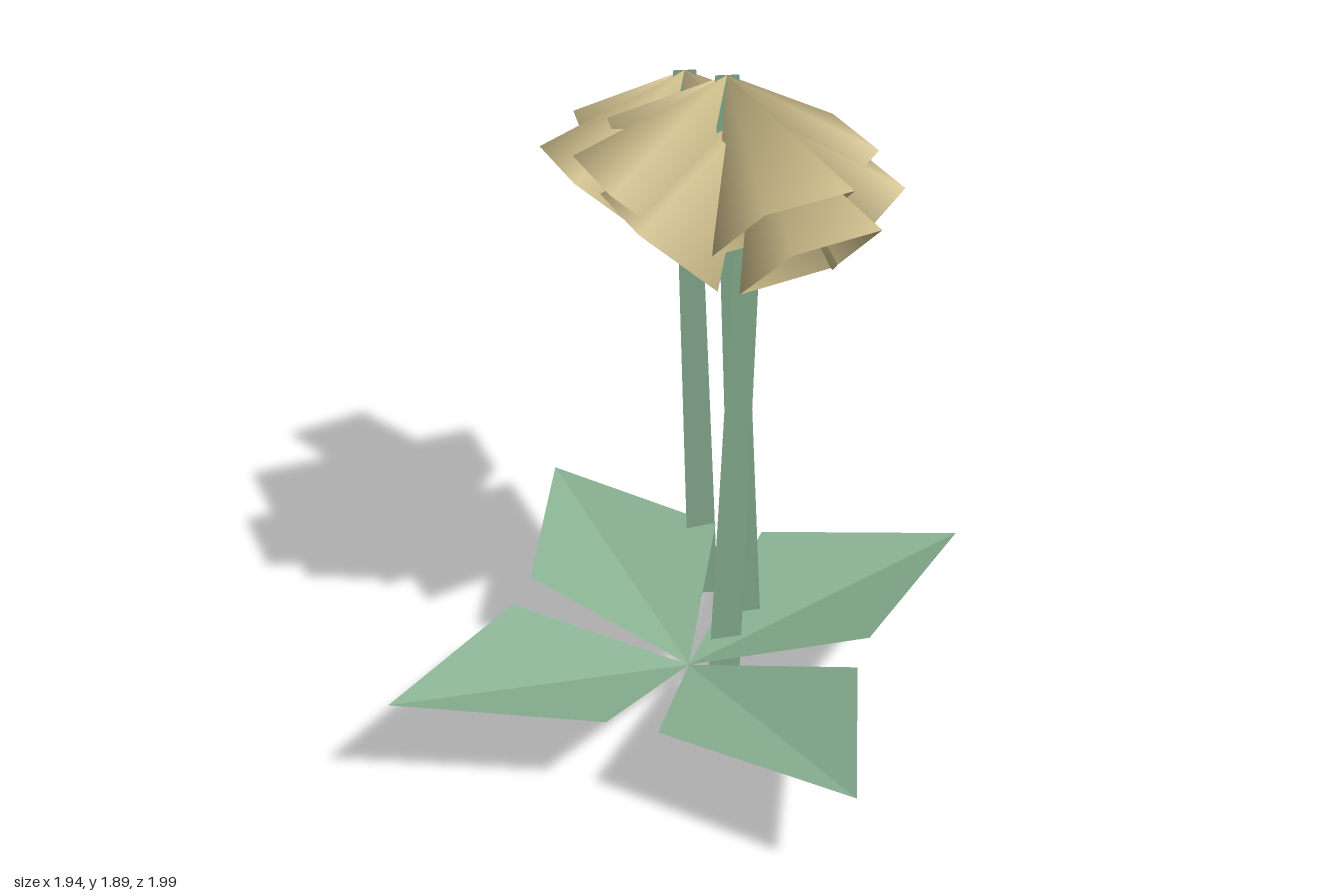
import * as THREE from 'three';

const mat = (name, color) => {
  const m = new THREE.MeshStandardMaterial({ color, side: THREE.DoubleSide });
  m.name = name;
  return m;
};

function surface(points, index) {
  const g = new THREE.BufferGeometry();
  g.setAttribute('position', new THREE.Float32BufferAttribute(points.flat(), 3));
  g.setIndex(index);
  return g;
}

function part(name, geometry, material) {
  const m = new THREE.Mesh(geometry, material);
  m.name = name;
  return m;
}

export function createModel() {
  const model = new THREE.Group();
  model.name = 'flowerPlant';
  const green = mat('leaf green', 0x8ab293);
  const tan = mat('petal tan', 0xd2c28e);

  // Leaves: kite shapes folded along the midrib
  let leafGeo = surface(
    [[0, 0, 0], [-0.33, 0.165, 0.44], [0, 0.19, 0.97], [0.33, 0.165, 0.44]],
    [0, 1, 2, 0, 2, 3]
  ).toNonIndexed();
  leafGeo.computeVertexNormals();
  for (let i = 0; i < 4; i++) {
    const leaf = part('leaf', leafGeo, green);
    leaf.position.set(0, 0.09, 0.02);
    leaf.rotation.y = i * Math.PI / 2;
    model.add(leaf);
  }

  // Petal: open four-sided funnel, smooth, with its point at the stem top
  const petalGeo = surface(
    [[0, 0, 0], [-0.15, -0.235, 0.41], [0.15, -0.235, 0.41], [0.165, -0.445, 0.18], [-0.165, -0.445, 0.18]],
    [0, 1, 2, 0, 2, 3, 0, 3, 4, 0, 4, 1]
  );
  petalGeo.computeVertexNormals();

  // Flowers: foot and top of each flat stem
  const flowers = [
    { foot: [0.135, 0, 0.0], top: [0.29, 1.79, -0.14] },
    { foot: [0.245, 0, -0.053], top: [0.24, 1.89, -0.21] },
    { foot: [0.285, 0, -0.42], top: [0.30, 1.77, -0.58] }
  ];
  for (const { foot, top } of flowers) {
    const flower = new THREE.Group();
    flower.name = 'flower';

    // Slightly tapered ribbon stem, turned a little about the vertical
    const edge = ([x, y, z], w) => [[x - w, y, z - 0.4 * w], [x + w, y, z + 0.4 * w]];
    const stemGeo = surface([...edge(foot, 0.045), ...edge(top, 0.032)], [0, 1, 3, 0, 3, 2]);
    stemGeo.computeVertexNormals();
    flower.add(part('stem', stemGeo, green));

    // Two crossed pairs of petals
    for (const deg of [5, 85, 185, 265]) {
      const petal = part('petal', petalGeo, tan);
      petal.position.set(...top);
      petal.rotation.y = THREE.MathUtils.degToRad(deg);
      flower.add(petal);
    }
    model.add(flower);
  }
  return model;
}
